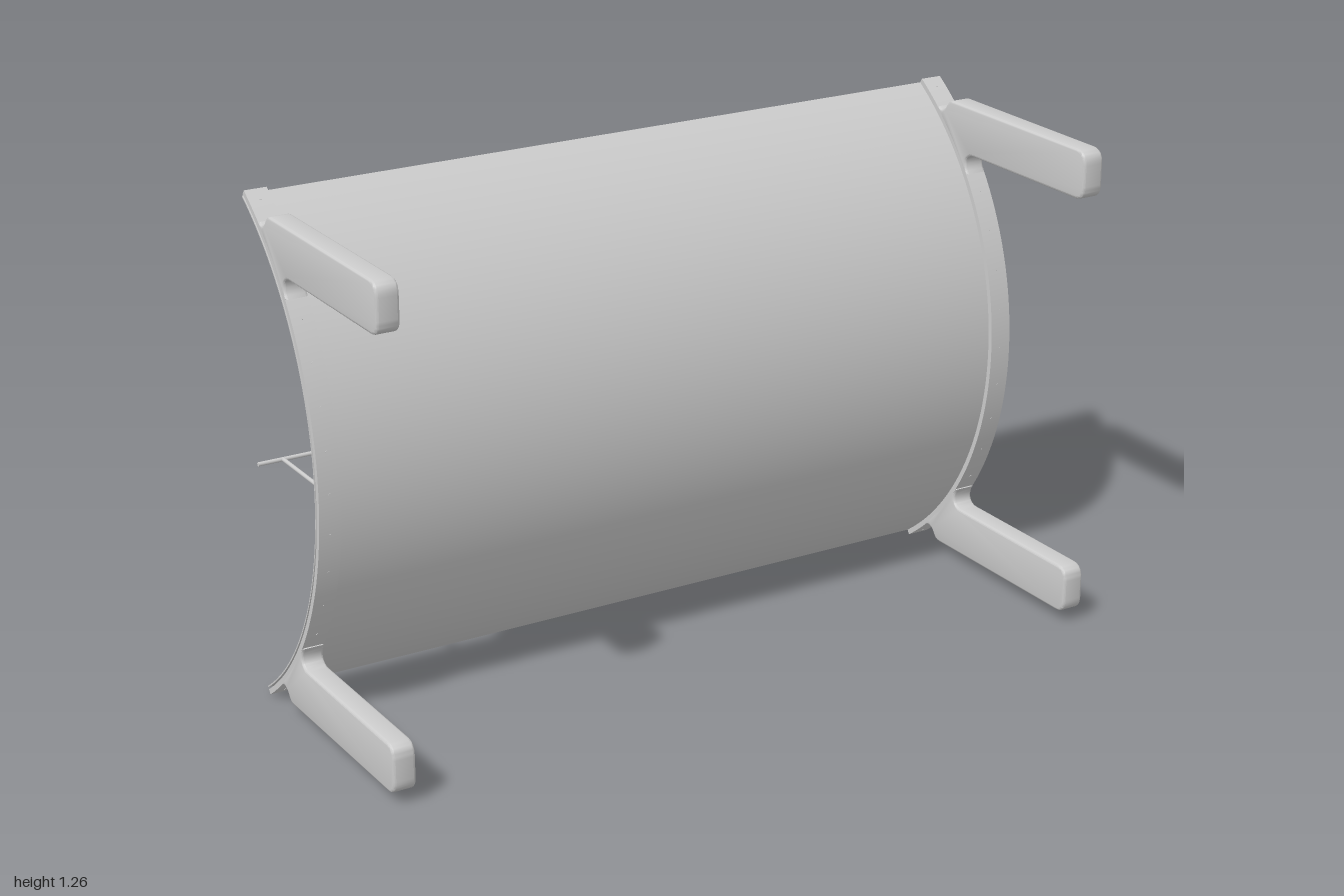
import * as THREE from 'three';
import { toCreasedNormals } from 'three/addons/utils/BufferGeometryUtils.js';

const MID_Y = 0.633;      // height of the trough axis
const ARC_Z = -0.758;     // centre of the curved section
const R = 0.765;          // front radius of the end rails
const HALF = 0.972;       // half angle of the curve
const RAIL_X = 0.937;     // centre of each end rail
const RAIL_W = 0.056;

const material = new THREE.MeshStandardMaterial({ color: 0xcccccc });

function add(parent, name, geometry, x = 0, y = 0, z = 0) {
  const mesh = new THREE.Mesh(geometry, material);
  mesh.name = name;
  mesh.position.set(x, y, z);
  parent.add(mesh);
  return mesh;
}

// Extrude a (z, y) outline along x, centred on x = 0
function extrudeX(shape, width, bevel = 0, curveSegments = 8) {
  const depth = width - 2 * bevel;
  const g = new THREE.ExtrudeGeometry(shape, {
    depth, curveSegments, bevelEnabled: bevel > 0,
    bevelSize: bevel, bevelOffset: -bevel, bevelThickness: bevel, bevelSegments: 3,
  });
  g.translate(0, 0, -depth / 2);
  g.rotateY(-Math.PI / 2);
  return toCreasedNormals(g, 0.6);
}

// Curved band between two radii
function band(outer, inner, half, width) {
  const s = new THREE.Shape();
  s.absarc(ARC_Z, 0, outer, -half, half, false);
  s.absarc(ARC_Z, 0, inner, half, -half, true);
  return extrudeX(s, width, 0, 48);
}

// Arm outline, y measured from the trough axis; its root sinks into the rail
function armShape() {
  const s = new THREE.Shape();
  s.moveTo(-0.1, 0.481);
  s.lineTo(0.31, 0.481);
  s.quadraticCurveTo(0.345, 0.481, 0.345, 0.516);
  s.lineTo(0.345, 0.569);
  s.quadraticCurveTo(0.345, 0.604, 0.31, 0.604);
  s.lineTo(-0.19, 0.604);
  s.bezierCurveTo(-0.205, 0.604, -0.213, 0.597, -0.218, 0.588);
  s.bezierCurveTo(-0.227, 0.573, -0.243, 0.568, -0.262, 0.58);
  s.lineTo(-0.275, 0.585);
  const c = 0.757, a0 = 0.875, a1 = 0.6;
  s.absarc(ARC_Z, 0, c, a0, a1, true);
  s.lineTo(-0.121, 0.43);
  s.bezierCurveTo(-0.138, 0.452, -0.136, 0.481, -0.1, 0.481);
  return s;
}

export function createModel() {
  const model = new THREE.Group();
  model.name = 'troughReflector';

  // Thin curved reflector sheet
  add(model, 'reflectorSheet', band(R - 0.013, R - 0.018, HALF, 1.88), 0, MID_Y);

  const railGeo = band(R, R - 0.013, HALF, RAIL_W);
  const clampGeo = band(R - 0.018, R - 0.0215, HALF, RAIL_W);
  const upperArm = extrudeX(armShape(), RAIL_W, 0.006);
  const lowerArm = upperArm.clone().rotateZ(Math.PI);
  const bolt = new THREE.CylinderGeometry(0.003, 0.003, 0.025, 8);
  const post = new THREE.CylinderGeometry(0.005, 0.005, 0.24, 12).rotateX(Math.PI / 2);

  for (const side of [-1, 1]) {
    const end = new THREE.Group();
    end.name = side > 0 ? 'leftEndFrame' : 'rightEndFrame';
    end.position.set(side * RAIL_X, MID_Y, 0);
    model.add(end);

    // Curved rail in front of the sheet and clamp strip behind it
    add(end, 'frontRail', railGeo);
    add(end, 'rearClampStrip', clampGeo);

    // Support arms above and below
    add(end, 'upperArm', upperArm);
    add(end, 'lowerArm', lowerArm);

    // Small fasteners through rail, sheet and clamp
    for (let i = 0; i < 15; i++) {
      const a = (i / 7 - 1) * (HALF - 0.04);
      const r = R - 0.0115;
      const m = add(end, 'fastener', bolt, 0, r * Math.sin(a), ARC_Z + r * Math.cos(a));
      m.rotation.x = Math.PI / 2 - a;
    }

    // Post carrying the receiver rod
    add(end, 'receiverPost', post, 0, 0, -0.125);
  }

  // Receiver rod along the back
  const rod = new THREE.CylinderGeometry(0.005, 0.005, 2, 12).rotateZ(Math.PI / 2);
  add(model, 'receiverRod', rod, 0, MID_Y, -0.245);

  return model;
}
